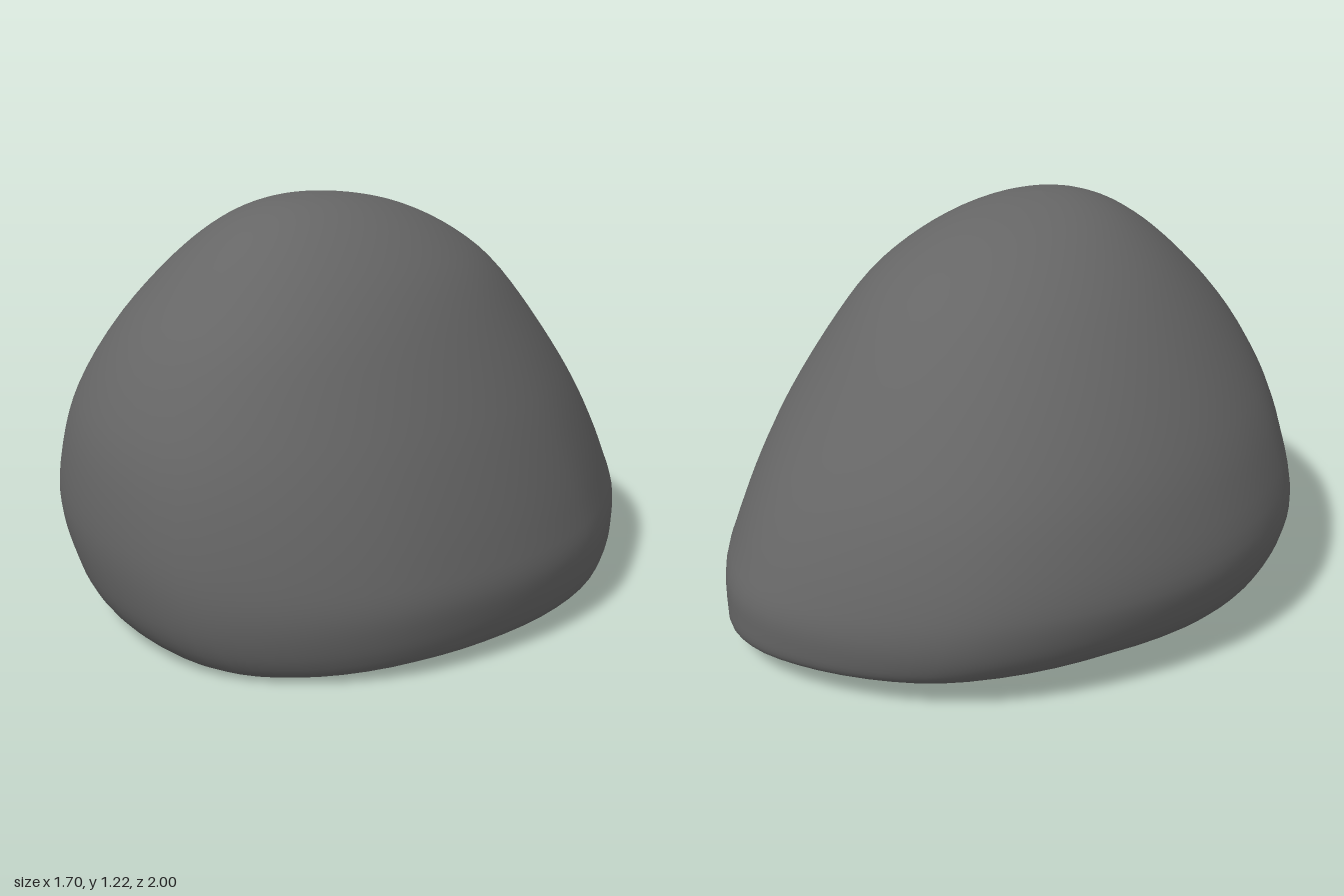
import * as THREE from 'three';

const SIDES = 72, RINGS = 44;

// Plan outline, starting at +x and turning towards +z
const outline = new THREE.CatmullRomCurve3([
  [0.85, 0], [0.82, 0.25], [0.73, 0.5], [0.605, 0.71], [0.43, 0.87], [0.24, 0.965], [0.05, 1],
  [-0.18, 0.945], [-0.4, 0.825], [-0.6, 0.635], [-0.75, 0.41], [-0.835, 0.2],
  [-0.85, 0.02], [-0.835, -0.16], [-0.78, -0.35], [-0.66, -0.57], [-0.49, -0.77], [-0.3, -0.91],
  [-0.09, -0.98], [0.15, -1], [0.35, -0.97], [0.51, -0.88], [0.66, -0.68], [0.76, -0.45], [0.825, -0.2],
].map(([x, z]) => new THREE.Vector3(x / 0.85, 0, z)), true);

// Height, then extents of the section: x min, x max, z min, z max
const sections = [
  [0, -0.57, 0.82, -0.95, 0.89],
  [0.03, -0.69, 0.835, -0.98, 0.93],
  [0.1, -0.78, 0.847, -0.995, 0.97],
  [0.2, -0.83, 0.85, -1, 0.995],
  [0.32, -0.85, 0.825, -0.98, 1],
  [0.5, -0.8, 0.765, -0.91, 0.975],
  [0.65, -0.73, 0.7, -0.82, 0.925],
  [0.85, -0.595, 0.585, -0.665, 0.81],
  [1.0, -0.465, 0.475, -0.51, 0.67],
  [1.1, -0.35, 0.36, -0.35, 0.55],
  [1.17, -0.235, 0.24, -0.175, 0.43],
  [1.21, -0.115, 0.12, 0.015, 0.3],
  [1.222, 0, 0.001, 0.165, 0.166],
];
const xCurve = new THREE.CatmullRomCurve3(sections.map(s => new THREE.Vector3(s[0], s[1], s[2])));
const zCurve = new THREE.CatmullRomCurve3(sections.map(s => new THREE.Vector3(s[0], s[3], s[4])));

// One ring of the stone at parameter t (0 base, 1 top)
function ring(t) {
  const a = xCurve.getPoint(t), b = zCurve.getPoint(t), h = a.x;
  const upper = THREE.MathUtils.smoothstep(h, 0.15, 0.85);
  const points = [];
  for (let i = 0; i < SIDES; i++) {
    const p = outline.getPoint(i / SIDES);
    // Sections grow rounder towards the top, with a flatter flank on the front left
    const facing = Math.max(0, Math.cos(Math.atan2(p.z, p.x) - 0.65));
    const k = THREE.MathUtils.lerp(1, 1 / Math.hypot(p.x, p.z), upper) - 0.06 * facing ** 4 * upper;
    const x = (a.y + a.z) / 2 + p.x * k * (a.z - a.y) / 2;
    const z = (b.y + b.z) / 2 + p.z * k * (b.z - b.y) / 2;
    // Underside is nearly level at the back and dips towards the front right
    const lift = 0.053 - 0.015 * z - 0.044 * Math.max(0, z - x);
    points.push(x, Math.max(0, h + lift * Math.max(0, 1 - h / 0.3)), z);
  }
  return points;
}

function makeGeometry(positions, indices) {
  const g = new THREE.BufferGeometry();
  g.setAttribute('position', new THREE.Float32BufferAttribute(positions, 3));
  g.setIndex(indices);
  g.computeVertexNormals();
  return g;
}

export function createModel() {
  const group = new THREE.Group();
  group.name = 'stone';
  const material = new THREE.MeshStandardMaterial({ color: 0x666666 });

  // Domed body
  const positions = [], indices = [];
  for (let j = 0; j <= RINGS; j++) positions.push(...ring(j / RINGS));
  for (let j = 0; j < RINGS; j++) {
    for (let i = 0; i < SIDES; i++) {
      const n = (i + 1) % SIDES;
      const a = j * SIDES + i, b = j * SIDES + n;
      indices.push(a, a + SIDES, b, b, a + SIDES, b + SIDES);
    }
  }
  const body = new THREE.Mesh(makeGeometry(positions, indices), material);
  body.name = 'body';

  // Underside
  const base = ring(0), fan = [];
  const centre = [0, 1, 2].map(c => {
    let sum = 0;
    for (let i = 0; i < SIDES; i++) sum += base[i * 3 + c];
    return sum / SIDES;
  });
  for (let i = 0; i < SIDES; i++) fan.push(SIDES, i, (i + 1) % SIDES);
  const underside = new THREE.Mesh(makeGeometry([...base, ...centre], fan), material);
  underside.name = 'underside';

  group.add(body, underside);
  return group;
}
